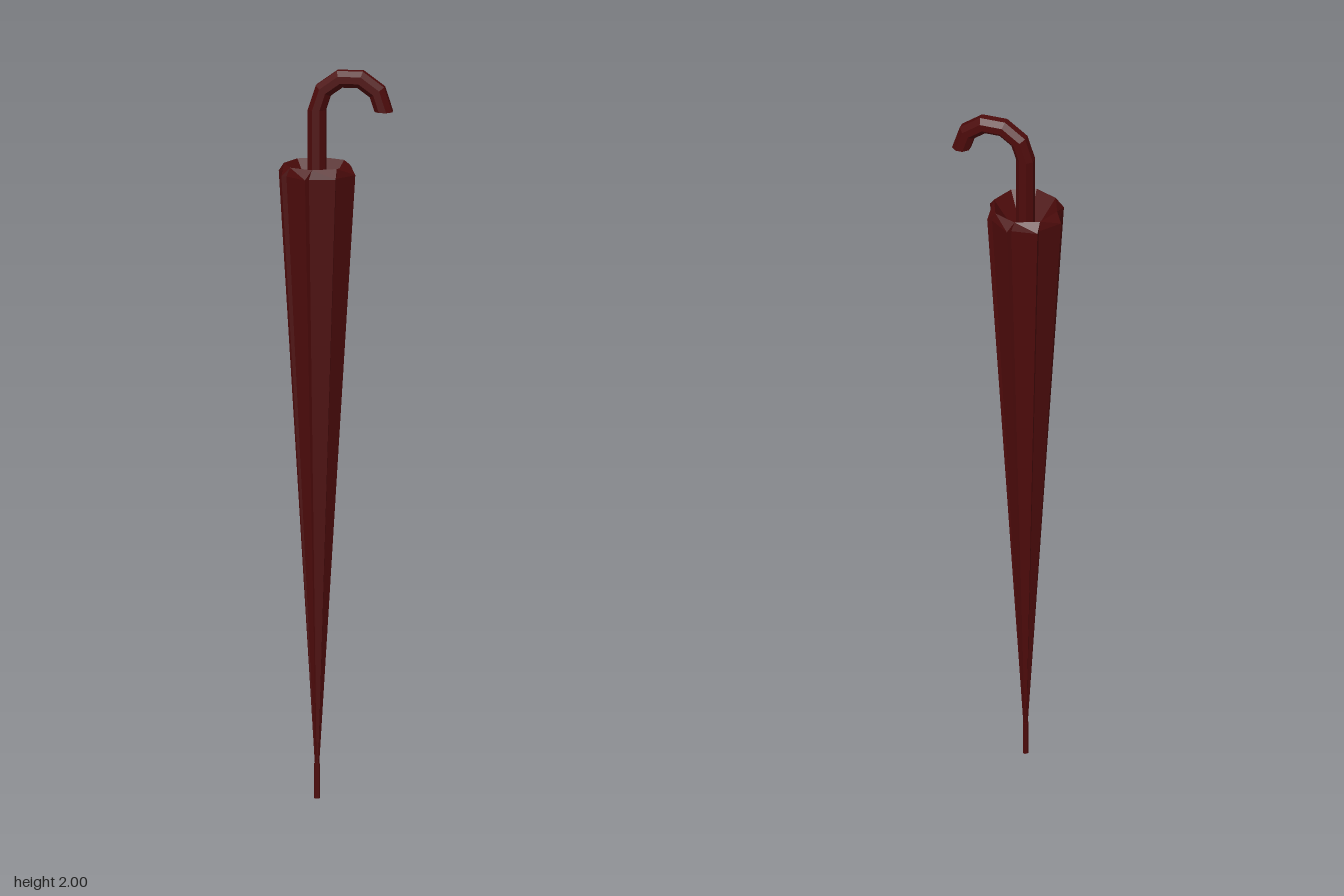
import * as THREE from 'three';

const AXIS = -0.05; // x of the umbrella's shaft
const DEG = Math.PI / 180;

// Skin a list of equal-length rings of Vector3, optionally closing the ends.
function loft(rings, capEnds) {
  const pos = [];
  const tri = (a, b, c) => {
    const area = b.clone().sub(a).cross(c.clone().sub(a)).length();
    if (area > 1e-9) pos.push(...a.toArray(), ...b.toArray(), ...c.toArray());
  };
  const n = rings[0].length;
  for (let i = 0; i < rings.length - 1; i++) {
    for (let j = 0; j < n; j++) {
      const k = (j + 1) % n, lo = rings[i], hi = rings[i + 1];
      tri(lo[j], hi[j], hi[k]);
      tri(lo[j], hi[k], lo[k]);
    }
  }
  if (capEnds) {
    const first = rings[0], last = rings[rings.length - 1];
    for (let j = 1; j < n - 1; j++) {
      tri(first[0], first[j], first[j + 1]);
      tri(last[0], last[j + 1], last[j]);
    }
  }
  const g = new THREE.BufferGeometry();
  g.setAttribute('position', new THREE.Float32BufferAttribute(pos, 3));
  g.computeVertexNormals();
  return g;
}

// Ring of eight pleats: each has a valley point followed by a tip point.
function pleatRing(y, valleyR, tipR, valleyTurn, tipTurn) {
  const ring = [];
  for (let k = 0; k < 8; k++) {
    for (const [r, turn] of [[valleyR, valleyTurn], [tipR, tipTurn]]) {
      const a = (45 * k + turn) * DEG;
      ring.push(new THREE.Vector3(AXIS + r * Math.cos(a), y, r * Math.sin(a)));
    }
  }
  return ring;
}

// Octagonal ring of the handle, standing across the path; dir is the outer side.
function handleRing(x, y, dir) {
  const R = 0.026, ring = [];
  for (let j = 0; j < 8; j++) {
    const a = (45 * j + 22.5) * DEG, u = R * Math.cos(a);
    ring.push(new THREE.Vector3(x + u * Math.cos(dir), y + u * Math.sin(dir), -R * Math.sin(a)));
  }
  return ring;
}

export function createModel() {
  const model = new THREE.Group();
  model.name = 'umbrella';
  const color = 0x4d0b0b;
  const add = (name, geometry, side = THREE.FrontSide) => {
    const material = new THREE.MeshStandardMaterial({ color, flatShading: true, side });
    const mesh = new THREE.Mesh(geometry, material);
    mesh.name = name;
    model.add(mesh);
    return mesh;
  };

  // Furled canopy: twisted pleats, bevelled rim and a funnel sinking to the shaft
  add('canopy', loft([
    pleatRing(0.09, 0.0055, 0.006, 4, 8.5),
    pleatRing(1.715, 0.097, 0.108, 4, 8.5),
    pleatRing(1.74, 0.09, 0.09, 0, 0),
    pleatRing(1.66, 0.034, 0.034, 0, 0),
  ], false), THREE.DoubleSide);

  // Crook handle: straight grip and a five-segment half circle
  const bendR = 0.091, bendY = 1.889;
  const rings = [handleRing(AXIS, 1.5, Math.PI)];
  for (let i = 0; i <= 5; i++) {
    const a = Math.PI * (1 - i / 5);
    rings.push(handleRing(AXIS + bendR + bendR * Math.cos(a), bendY + bendR * Math.sin(a), a));
  }
  add('handle', loft(rings, true));

  // Thin rod inside the canopy, ending in the ferrule
  const rod = add('rod', new THREE.CylinderGeometry(0.006, 0.006, 1.4, 8));
  rod.position.set(AXIS, 0.8, 0);
  const ferrule = add('ferrule', new THREE.CylinderGeometry(0.008, 0.008, 0.095, 8));
  ferrule.position.set(AXIS, 0.0475, 0);

  return model;
}
